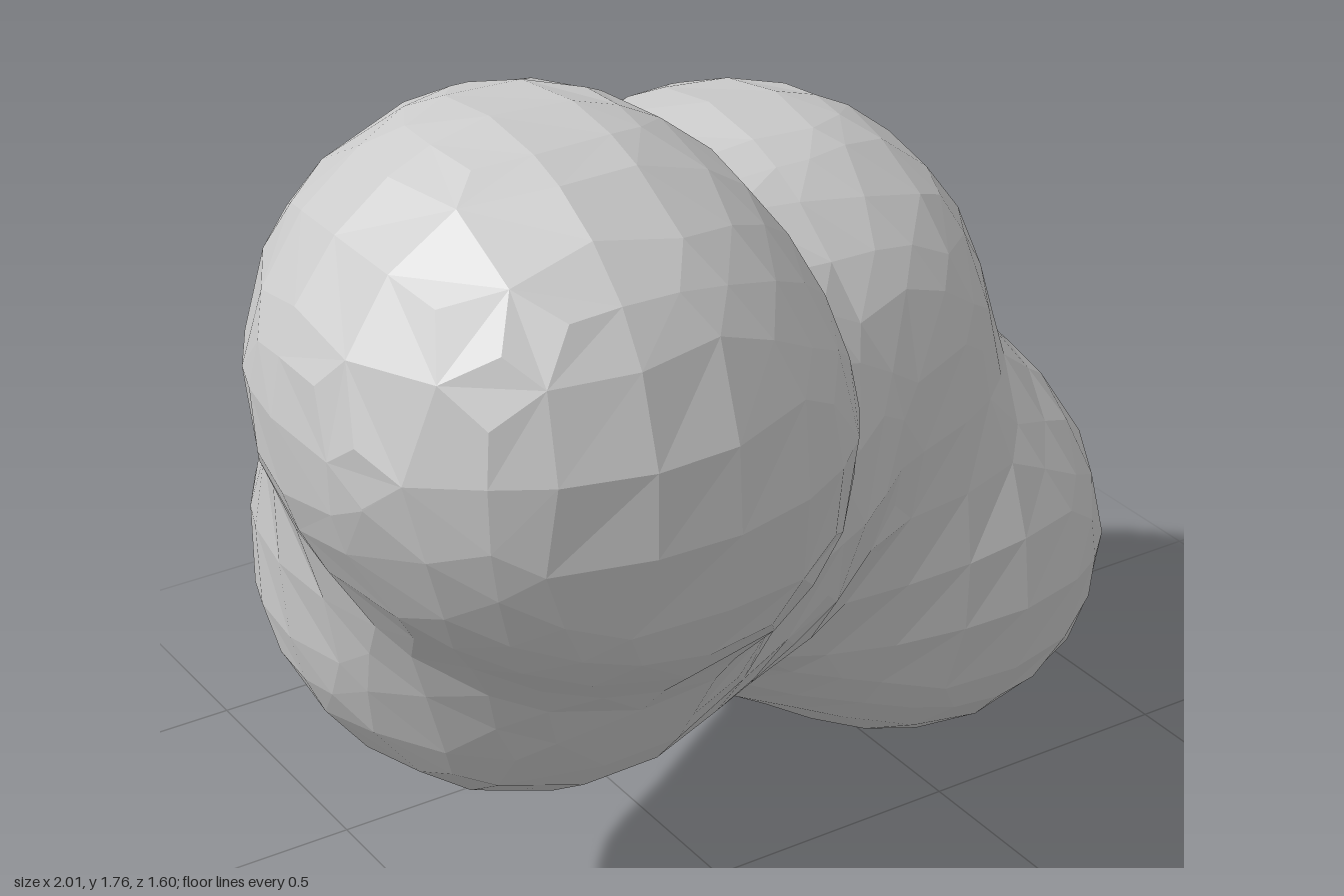
import * as THREE from 'three';

// Overlapping lobes that make up the body: x, y, z, radius
const LOBES = [
  [-0.60, 1.33, 0.40, 0.405], // upper left end
  [-0.46, 1.19, 0.385, 0.405],
  [-0.54, 1.32, 0.26, 0.41],
  [-0.42, 1.08, 0.16, 0.42], // upper left neck
  [-0.42, 0.87, 0.05, 0.455], // lower left bulge
  [-0.10, 0.84, -0.12, 0.46], // waist
  [0.18, 0.88, -0.345, 0.45], // upper right bulge
  [0.30, 0.88, -0.345, 0.44],
  [0.37, 0.57, -0.345, 0.45], // lower right neck
  [0.61, 0.39, -0.42, 0.39], // lower right end
  [0.61, 0.39, -0.29, 0.39],
];
const BLEND = 0.12;
const STEP = 0.1375;

// Signed distance to the softly blended lobes
function field(p) {
  let d = Infinity;
  for (const [x, y, z, r] of LOBES) {
    const s = Math.hypot(p.x - x, p.y - y, p.z - z) - r;
    if (d === Infinity) { d = s; continue; }
    const h = Math.max(BLEND - Math.abs(d - s), 0) / BLEND;
    d = Math.min(d, s) - h * h * BLEND * 0.25;
  }
  return d + 0.01;
}

function gradient(p) {
  const e = 0.005, g = new THREE.Vector3();
  for (const a of ['x', 'y', 'z']) {
    const q = p.clone(), r = p.clone();
    q[a] += e;
    r[a] -= e;
    g[a] = (field(q) - field(r)) / (2 * e);
  }
  return g;
}

// Wrap the field in a coarse faceted skin: one vertex per crossed cell,
// one quad per crossed grid edge
function skinGeometry() {
  const size = [18, 16, 16];
  const origin = new THREE.Vector3(-9 * STEP, -0.224, -8 * STEP);
  const at = (c) => new THREE.Vector3(...c).multiplyScalar(STEP).add(origin);
  const values = new Map();
  const value = (c) => {
    const key = c.join();
    if (!values.has(key)) values.set(key, field(at(c)));
    return values.get(key);
  };
  const shift = (c, axis, n) => c.map((v, i) => (i === axis ? v + n : v));

  const positions = [], indices = [], ids = new Map();
  const vertex = (c) => {
    const key = c.join();
    if (ids.has(key)) return ids.get(key);
    // Mean of the crossings on the cell's edges
    const sum = new THREE.Vector3();
    let count = 0;
    for (let n = 0; n < 8; n++) {
      const a = [c[0] + (n & 1), c[1] + ((n >> 1) & 1), c[2] + (n >> 2)];
      for (let axis = 0; axis < 3; axis++) {
        if (n & (1 << axis)) continue;
        const b = shift(a, axis, 1), fa = value(a), fb = value(b);
        if ((fa < 0) === (fb < 0)) continue;
        sum.add(at(a).lerp(at(b), fa / (fa - fb)));
        count++;
      }
    }
    sum.divideScalar(count);
    // Pull the vertex onto the surface
    for (let k = 0; k < 3; k++) {
      const g = gradient(sum);
      sum.addScaledVector(g, -field(sum) / Math.max(g.lengthSq(), 0.3));
    }
    ids.set(key, positions.length / 3);
    positions.push(sum.x, sum.y, sum.z);
    return ids.get(key);
  };

  for (let i = 1; i < size[0]; i++)
    for (let j = 1; j < size[1]; j++)
      for (let k = 1; k < size[2]; k++)
        for (let axis = 0; axis < 3; axis++) {
          const c = [i, j, k];
          const inside = value(c) < 0;
          if (inside === value(shift(c, axis, 1)) < 0) continue;
          const u = (axis + 1) % 3, v = (axis + 2) % 3;
          const quad = [shift(shift(c, u, -1), v, -1), shift(c, v, -1), c, shift(c, u, -1)].map(vertex);
          if (!inside) quad.reverse();
          const [p, q, r, s] = quad;
          indices.push(p, q, r, p, r, s);
        }

  const geometry = new THREE.BufferGeometry();
  geometry.setAttribute('position', new THREE.Float32BufferAttribute(positions, 3));
  geometry.setIndex(indices);
  geometry.computeVertexNormals();
  return geometry;
}

export function createModel() {
  const group = new THREE.Group();
  group.name = 'lobedBlob';
  const material = new THREE.MeshStandardMaterial({ color: 0xcccccc, flatShading: true });
  const body = new THREE.Mesh(skinGeometry(), material);
  body.name = 'blobSurface';
  group.add(body);
  return group;
}
